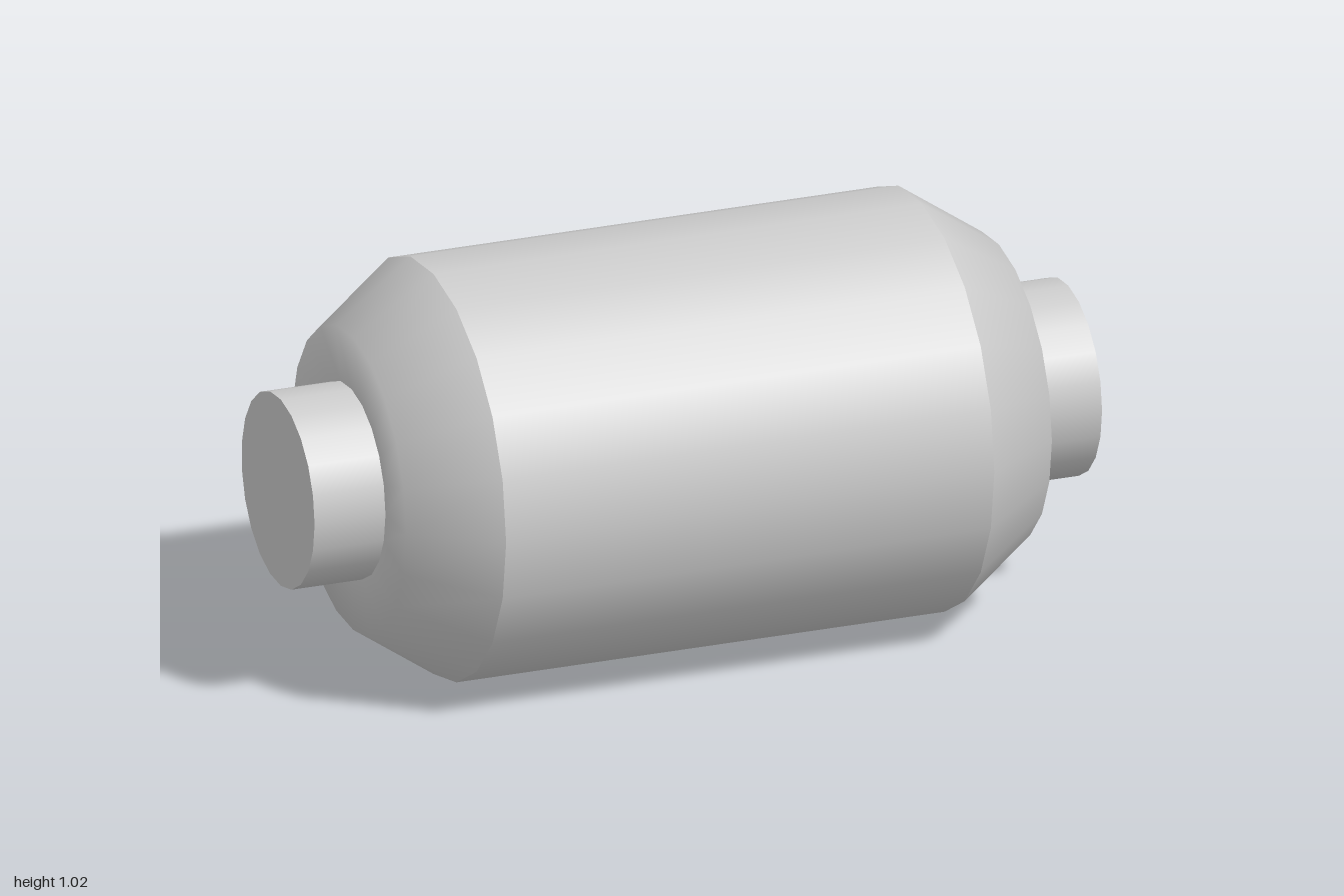
import * as THREE from 'three';

const SIDES = 21;
const BODY_R = 0.511, RIM_R = 0.373, SHAFT_R = 0.238;
const BODY_X = 0.62, RIM_X = 0.82, END_X = 1;

export function createModel() {
  const group = new THREE.Group();
  const material = new THREE.MeshStandardMaterial({ color: 0xcccccc });

  // Turn a geometry built along y so that it lies along x
  const add = (name, geometry) => {
    geometry.rotateZ(-Math.PI / 2);
    const mesh = new THREE.Mesh(geometry, material);
    mesh.name = name;
    group.add(mesh);
    return mesh;
  };

  // Barrel wall, open where the shoulders begin
  add('barrel', new THREE.CylinderGeometry(BODY_R, BODY_R, 2 * BODY_X, SIDES, 1, true));

  // Tapered shoulders blending softly into the flat end faces
  const profile = [[BODY_R, BODY_X], [RIM_R, RIM_X], [SHAFT_R, RIM_X]];
  for (const side of [1, -1]) {
    const points = profile.map(([r, x]) => new THREE.Vector2(r, side * x));
    if (side < 0) points.reverse();
    const label = side > 0 ? 'left' : 'right';
    add(label + 'Shoulder', new THREE.LatheGeometry(points, SIDES));

    // Stub shaft
    const shaft = add(label + 'Shaft',
      new THREE.CylinderGeometry(SHAFT_R, SHAFT_R, END_X - RIM_X, SIDES));
    shaft.position.x = side * (END_X + RIM_X) / 2;
  }

  // Rest on the ground; the odd side count needs a slight shift to centre in z
  group.position.set(0, 0.51, -0.003);
  const model = new THREE.Group();
  model.name = 'roller';
  model.add(group);
  return model;
}
